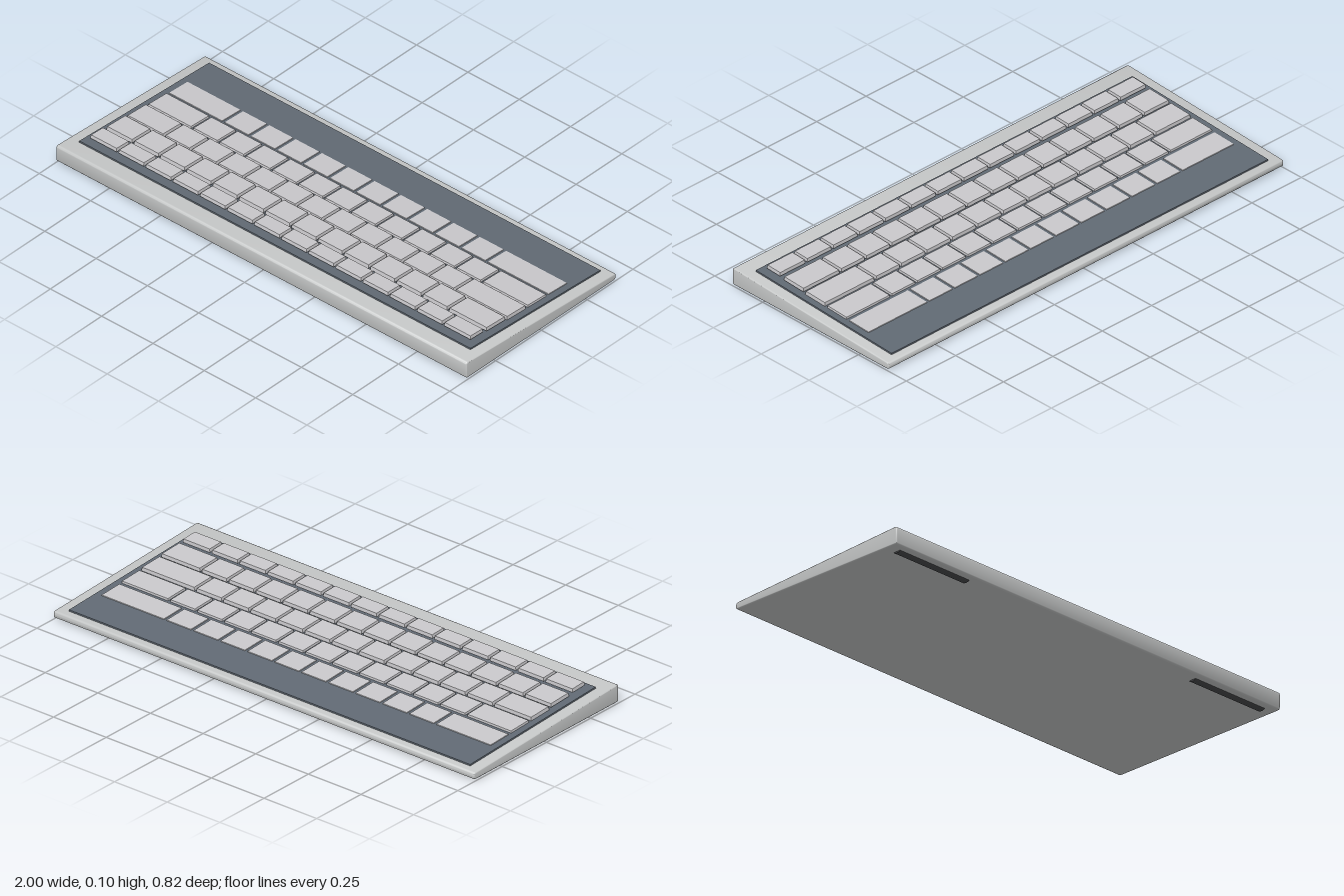
import * as THREE from 'three';
import { toCreasedNormals } from 'three/addons/utils/BufferGeometryUtils.js';

const mat = (name, color) => Object.assign(new THREE.MeshStandardMaterial({ color }), { name });
const SLOPE = Math.atan(0.053);

// Closed polygon with rounded corners
function roundedShape(points, r) {
  const shape = new THREE.Shape();
  const v = points.map(([x, y]) => new THREE.Vector2(x, y));
  v.forEach((p, i) => {
    const toward = (q) => p.clone().add(q.clone().sub(p).setLength(r));
    const a = toward(v[(i + v.length - 1) % v.length]);
    const b = toward(v[(i + 1) % v.length]);
    if (i) shape.lineTo(a.x, a.y); else shape.moveTo(a.x, a.y);
    shape.quadraticCurveTo(p.x, p.y, b.x, b.y);
  });
  shape.closePath();
  return shape;
}

// Wedge-shaped case: side profile in (z, y), extruded across the width
function caseGeometry() {
  const bevel = 0.005;
  const shape = roundedShape([
    [-0.403, 0.011], [0.404, 0.011], [0.404, 0.072], [-0.403, 0.029],
  ], 0.006);
  const geo = new THREE.ExtrudeGeometry(shape, {
    depth: 2 - 2 * bevel, bevelEnabled: true, bevelSize: bevel,
    bevelThickness: bevel, bevelSegments: 3, curveSegments: 4,
  });
  geo.translate(0, 0, -1 + bevel).rotateY(-Math.PI / 2);
  return toCreasedNormals(geo, 0.6);
}

// Key cap: a thin box whose top is slightly narrower than its base
function keyGeometry(width, depth) {
  const h = 0.014, inset = 0.002;
  const geo = new THREE.BoxGeometry(width, h, depth);
  const p = geo.attributes.position;
  for (let i = 0; i < p.count; i++) {
    if (p.getY(i) < 0) continue;
    p.setX(i, p.getX(i) - Math.sign(p.getX(i)) * inset);
    p.setZ(i, p.getZ(i) - Math.sign(p.getZ(i)) * inset);
  }
  geo.computeVertexNormals();
  return geo;
}

export function createModel() {
  const model = new THREE.Group();
  model.name = 'keyboard';
  const shell = mat('case grey', 0xc6c8c8);
  const slate = mat('slate plate', 0x616a74);
  const cap = mat('key grey', 0xc9c8cb);
  const rubber = mat('foot rubber', 0x4a4b4d);

  const add = (name, geo, material, parent = model) => {
    const mesh = new THREE.Mesh(geo, material);
    mesh.name = name;
    parent.add(mesh);
    return mesh;
  };

  add('case', caseGeometry(), shell);

  // Dark plate lying on the sloping top
  const plate = add('keyPlate', new THREE.BoxGeometry(1.906, 0.008, 0.71), slate);
  plate.position.set(0, 0.0567, -0.02);
  plate.rotation.x = -SLOPE;

  // Rows: centre z, centre y, depth, first and last inner gaps, keys between them
  const rows = [
    { z: 0.27, y: 0.0945, depth: 0.069, first: -0.793, last: 0.793, inner: 12 },
    { z: 0.165, y: 0.083, depth: 0.102, first: -0.797, last: 0.738, inner: 12 },
    { z: 0.053, y: 0.0715, depth: 0.102, first: -0.746, last: 0.67, inner: 11 },
    { z: -0.06, y: 0.06, depth: 0.102, first: -0.711, last: 0.70, inner: 11 },
    { z: -0.174, y: 0.0485, depth: 0.104, first: -0.66, last: 0.622, inner: 10 },
  ];
  const gap = 0.009, edge = 0.926;
  rows.forEach((row, r) => {
    const group = new THREE.Group();
    group.name = `keyRow${r + 1}`;
    group.position.set(0, row.y, row.z);
    group.rotation.x = -SLOPE;
    model.add(group);
    const cuts = [-edge - gap / 2];
    for (let i = 0; i <= row.inner; i++) {
      cuts.push(row.first + (row.last - row.first) * i / row.inner);
    }
    cuts.push(edge + gap / 2);
    for (let i = 0; i < cuts.length - 1; i++) {
      const key = add('key', keyGeometry(cuts[i + 1] - cuts[i] - gap, row.depth), cap, group);
      key.position.x = (cuts[i] + cuts[i + 1]) / 2;
    }
  });

  // Low rounded feet under the tall edge
  for (const side of [-1, 1]) {
    const geo = new THREE.CylinderGeometry(0.016, 0.016, 0.36, 20);
    geo.rotateZ(Math.PI / 2).scale(1, 0.4, 1);
    const foot = add(side > 0 ? 'leftFoot' : 'rightFoot', geo, rubber);
    foot.position.set(side * 0.77, 0.0064, 0.362);
  }
  return model;
}
